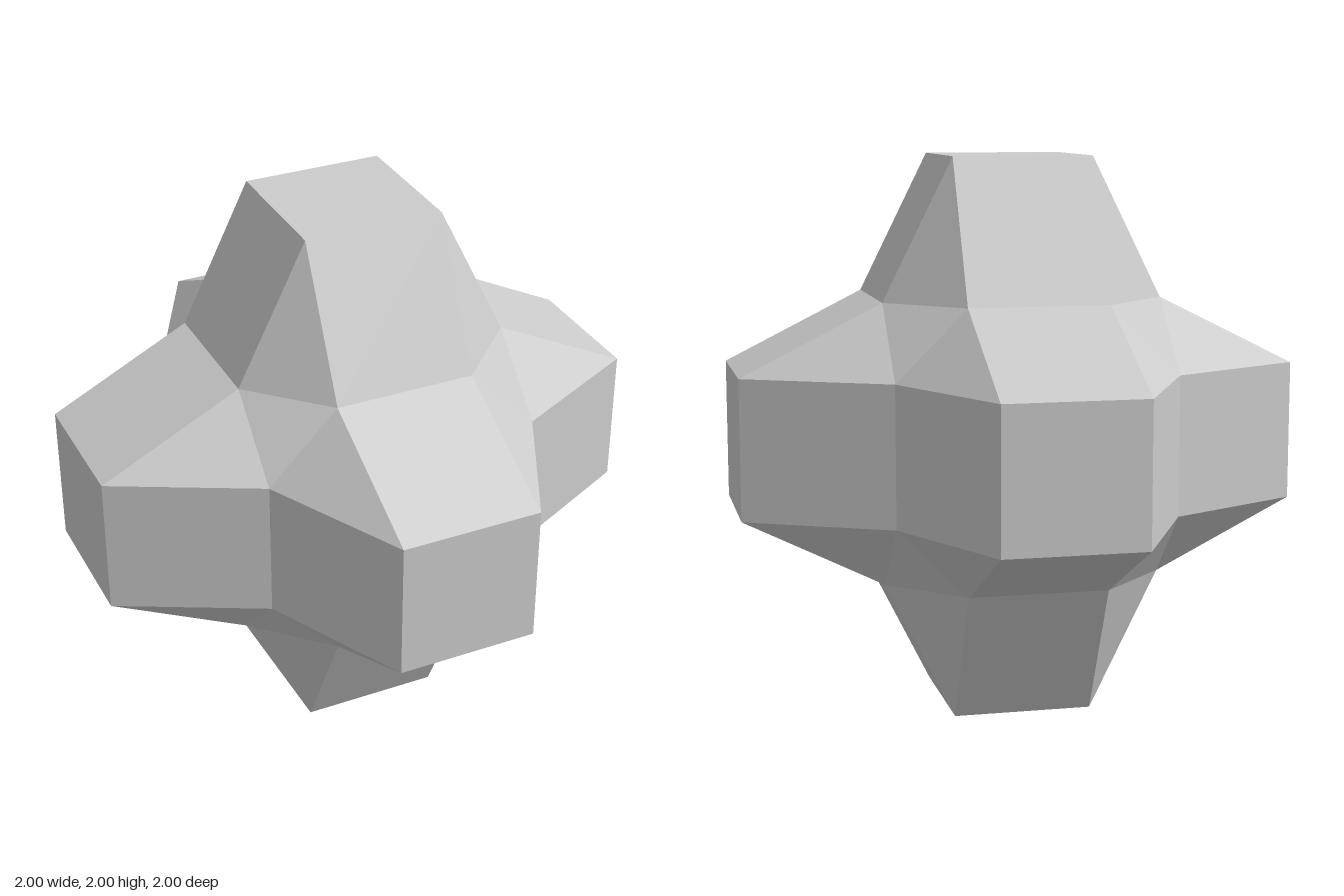
import * as THREE from 'three';

const TIP = 1, MID = 0.5, HALF = 0.25;

// Flat-faced geometry from a list of triangle corners
function facets(points) {
  const geometry = new THREE.BufferGeometry().setFromPoints(points);
  geometry.computeVertexNormals();
  return geometry;
}

// One upright arm: square tip, four sloping panels, four corner triangles
function armGeometry() {
  const points = [];
  const v = (x, y, z) => new THREE.Vector3(x, y, z);
  for (let k = 0; k < 4; k++) {
    const a = v(-HALF, MID, MID), b = v(HALF, MID, MID);
    const c = v(HALF, TIP, HALF), d = v(-HALF, TIP, HALF);
    const e = v(MID, MID, HALF), top = v(0, TIP, 0);
    const quarter = [a, b, c, a, c, d, b, e, c, top, d, c].map((p) => p.clone());
    for (const p of quarter) p.applyAxisAngle(new THREE.Vector3(0, 1, 0), k * Math.PI / 2);
    points.push(...quarter);
  }
  return facets(points);
}

export function createModel() {
  const group = new THREE.Group();
  const material = new THREE.MeshStandardMaterial({ color: 0xcccccc, flatShading: true });
  const add = (name, geometry, rx, ry, rz) => {
    const mesh = new THREE.Mesh(geometry, material);
    mesh.name = name;
    mesh.rotation.set(rx, ry, rz);
    mesh.position.y = 1;
    group.add(mesh);
  };

  // Six arms along the axes
  const q = Math.PI / 2;
  const arm = armGeometry();
  add('topArm', arm, 0, 0, 0);
  add('bottomArm', arm, Math.PI, 0, 0);
  add('frontArm', arm, q, 0, 0);
  add('backArm', arm, -q, 0, 0);
  add('leftArm', arm, 0, 0, -q);
  add('rightArm', arm, 0, 0, q);

  // Eight small triangles where three arms meet
  const corner = facets([
    new THREE.Vector3(HALF, MID, MID),
    new THREE.Vector3(MID, HALF, MID),
    new THREE.Vector3(MID, MID, HALF),
  ]);
  for (let k = 0; k < 4; k++) {
    add('upperCorner' + (k + 1), corner, 0, k * q, 0);
    add('lowerCorner' + (k + 1), corner, Math.PI, k * q, 0);
  }
  return group;
}
